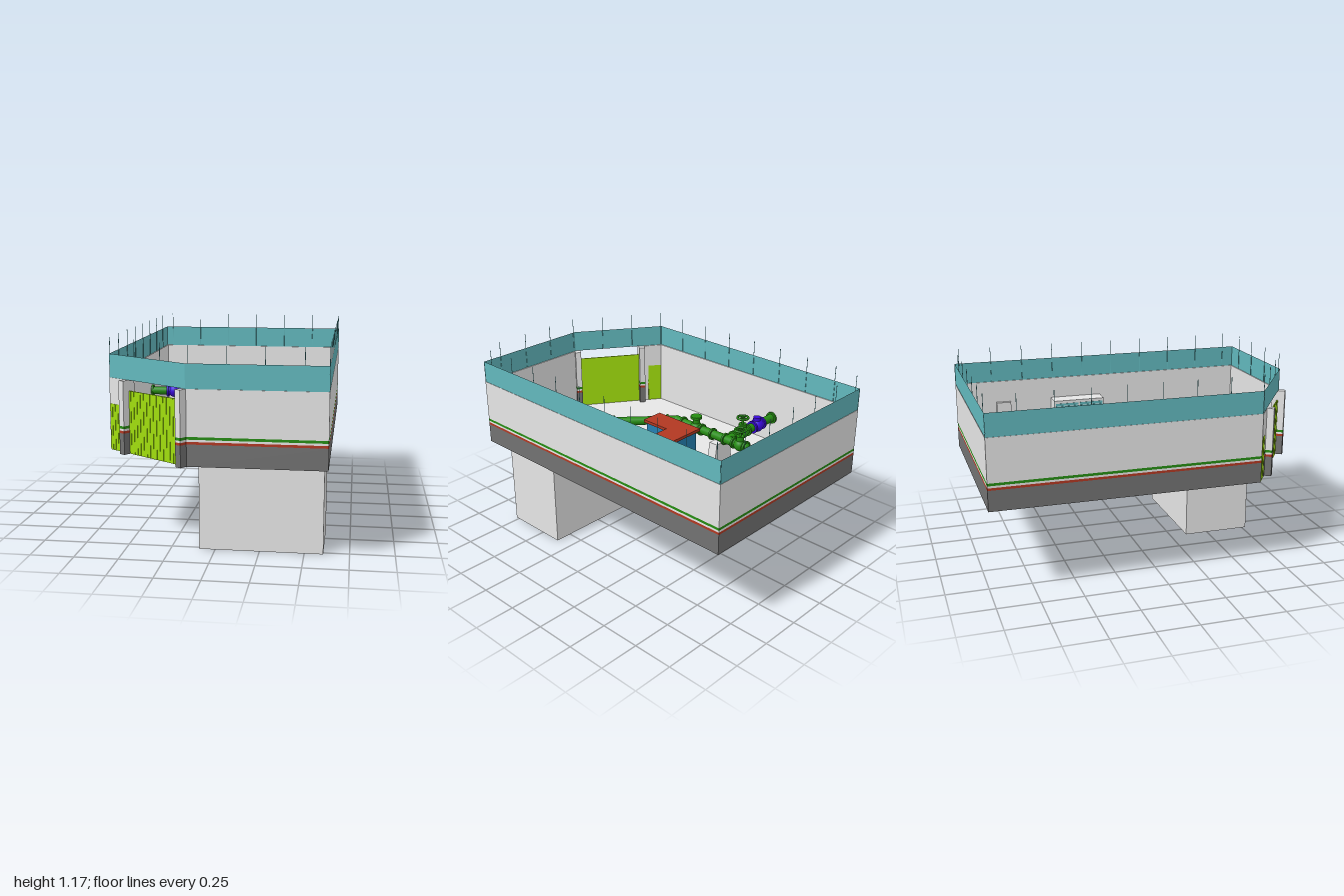
import * as THREE from 'three';
import { ConvexGeometry } from 'three/addons/geometries/ConvexGeometry.js';

const mat = (name, color, side = THREE.FrontSide) => {
  const m = new THREE.MeshStandardMaterial({ color, side });
  m.name = name;
  return m;
};
const M = {
  concrete: mat('concrete grey', 0xe6e6e6),
  dark: mat('base grey', 0x727272),
  fence: mat('fence teal', 0x62b8bd, THREE.DoubleSide),
  red: mat('brick red', 0xb23822),
  green: mat('pipe green', 0x258c12),
  white: mat('stripe white', 0xffffff),
  lime: mat('gate lime', 0xa0de0e),
  violet: mat('meter violet', 0x3a08dc),
  blue: mat('furniture blue', 0x2480b2),
};
const V = (x, y, z) => new THREE.Vector3(x, y, z);
const UP = V(0, 1, 0);
const FLOOR = 0.53;

function add(parent, name, geo, material, x = 0, y = 0, z = 0) {
  const m = new THREE.Mesh(geo, material);
  m.name = name;
  m.position.set(x, y, z);
  parent.add(m);
  return m;
}
// box given by its limits
const box = (p, name, material, x0, x1, y0, y1, z0, z1) => add(p, name,
  new THREE.BoxGeometry(x1 - x0, y1 - y0, z1 - z0), material, (x0 + x1) / 2, (y0 + y1) / 2, (z0 + z1) / 2);
function group(parent, name, x = 0, y = 0, z = 0, ry = 0) {
  const g = new THREE.Group();
  g.name = name;
  g.position.set(x, y, z);
  g.rotation.y = ry;
  parent.add(g);
  return g;
}
// cylinder between two points
function rod(p, name, a, b, r, material = M.green, seg = 20) {
  const m = add(p, name, new THREE.CylinderGeometry(r, r, a.distanceTo(b), seg), material);
  m.position.copy(a).lerp(b, 0.5);
  m.quaternion.setFromUnitVectors(UP, b.clone().sub(a).normalize());
  return m;
}
// flange centred at fraction t of the run a-b
function flange(p, a, b, t, material = M.green, r = 0.038) {
  const d = b.clone().sub(a).normalize().multiplyScalar(0.006);
  const c = a.clone().lerp(b, t);
  rod(p, 'flange', c.clone().sub(d), c.clone().add(d), r, material);
}
const ball = (p, name, c, r, material = M.green) =>
  add(p, name, new THREE.SphereGeometry(r, 20, 14), material, c.x, c.y, c.z);

// valve body on a pipe, with bonnet and handwheel
function valve(p, c, dir) {
  const g = group(p, 'gateValve');
  const d = dir.clone().multiplyScalar(0.045);
  const a = c.clone().sub(d), b = c.clone().add(d);
  ball(g, 'valveBody', c, 0.039);
  flange(g, a, b, 0);
  flange(g, a, b, 1);
  rod(g, 'bonnet', c, V(c.x, c.y + 0.06, c.z), 0.024);
  rod(g, 'stem', c, V(c.x, c.y + 0.11, c.z), 0.008);
  const w = add(g, 'handwheel', new THREE.TorusGeometry(0.034, 0.007, 8, 24), M.green, c.x, c.y + 0.1, c.z);
  w.rotation.x = Math.PI / 2;
  for (const [x, z] of [[0.034, 0], [0, 0.034]])
    rod(g, 'spoke', V(c.x - x, c.y + 0.1, c.z - z), V(c.x + x, c.y + 0.1, c.z + z), 0.005, M.green, 8);
}
// tapering concrete pipe saddle
function saddle(p, x, z, ry, y0 = 0.475) {
  const s = new THREE.Shape([[-0.088, y0], [0.088, y0], [0.062, 0.675], [-0.062, 0.675]].map(q => new THREE.Vector2(...q)));
  const geo = new THREE.ExtrudeGeometry(s, { depth: 0.06, bevelEnabled: false }).translate(0, 0, -0.03);
  add(p, 'pipeSaddle', geo, M.concrete, x, 0, z).rotation.y = ry;
}
// painted base and stripes
function bands(g, x0, x1, z0, z1) {
  box(g, 'baseBand', M.dark, x0, x1, 0.52, 0.642, z0, z1);
  box(g, 'redStripe', M.red, x0, x1, 0.642, 0.656, z0, z1);
  box(g, 'whiteStripe', M.white, x0, x1, 0.656, 0.668, z0, z1);
  box(g, 'greenStripe', M.green, x0, x1, 0.668, 0.683, z0, z1);
}
// ribbed sheet panel
function ribbed(g, name, x0, x1, top, z, h) {
  box(g, name, M.lime, x0, x1, 0.52, top, z - h, z + h);
  const n = Math.round((x1 - x0) / 0.026);
  for (let i = 0; i < n; i++) {
    const x = x0 + (i + 0.5) * (x1 - x0) / n;
    box(g, 'rib', M.lime, x - 0.007, x + 0.007, 0.522, top - 0.002, z - h, z + h + 0.002);
  }
}

export function createModel() {
  const model = new THREE.Group();
  model.name = 'pumpingStation';

  // floor slab and the chamber below it
  const outline = [[-0.63, 0.61], [-0.13, 0.953], [0.63, 0.953], [0.63, -1], [-0.63, -1]];
  const s = new THREE.Shape(outline.map(([x, z]) => new THREE.Vector2(x * 0.997, -z * 0.997)));
  const slab = new THREE.ExtrudeGeometry(s, { depth: FLOOR - 0.521, bevelEnabled: false });
  add(model, 'floor', slab.rotateX(-Math.PI / 2), M.concrete, 0, 0.521, 0);
  box(model, 'wetWell', M.concrete, -0.09, 0.605, 0, 0.521, 0.355, 0.775);

  // perimeter: wall, bands and fence with rods along each side
  const wall = (g, x0, x1) => {
    box(g, 'wall', M.concrete, x0 + 0.004, x1 - 0.004, 0.521, 0.94, -0.008, -0.002);
    box(g, 'wallFace', M.concrete, x0, x1, 0.683, 0.94, -0.002, 0);
    bands(g, x0, x1, -0.002, 0);
  };
  const firstRod = [0.005, 0.015, 0.078, 0.19, 0.175];
  outline.forEach(([ax, az], i) => {
    const [bx, bz] = outline[(i + 1) % outline.length];
    const L = Math.hypot(bx - ax, bz - az);
    const g = group(model, 'perimeterSide', ax, 0, az, Math.atan2(az - bz, bx - ax));
    add(g, 'fence', new THREE.PlaneGeometry(L, 0.135), M.fence, L / 2, 1.0075, -0.002);
    for (let d = firstRod[i]; d < L; d += 0.205)
      rod(g, 'fenceRod', V(d, 0.94, -0.004), V(d, 1.17, -0.004), 0.0018, M.fence, 6);
    if (i) return wall(g, 0, L);
    // angled corner with gate, banded posts and side panel
    wall(g, 0.095, 0.14);
    box(g, 'panelLintel', M.concrete, 0, 0.095, 0.79, 0.94, -0.008, 0);
    ribbed(g, 'sidePanel', 0.002, 0.095, 0.79, -0.005, 0.003);
    ribbed(g, 'gate', 0.16, 0.575, 0.88, -0.004, 0.003);
    for (const x of [0.145, 0.592]) {
      const post = group(g, 'gatePost', x);
      box(post, 'postShaft', M.concrete, -0.019, 0.019, 0.683, 0.94, -0.042, 0.042);
      bands(post, -0.019, 0.019, -0.042, 0.042);
    }
  });

  // thrust block at the outlet
  add(model, 'thrustBlock', new ConvexGeometry([
    V(-0.285, FLOOR, -0.86), V(-0.04, FLOOR, -0.86), V(-0.285, FLOOR, -0.645), V(-0.04, FLOOR, -0.645),
    V(-0.262, 0.7, -0.845), V(-0.062, 0.7, -0.845), V(-0.252, 0.717, -0.78), V(-0.072, 0.717, -0.78),
    V(-0.235, 0.73, -0.655), V(-0.09, 0.73, -0.655)]), M.concrete);

  // pipework
  const pipes = group(model, 'pipework');
  const R = 0.027, Y = 0.7, X = -0.165;
  const out = V(X, 0.495, -0.735), bend = V(X, Y, -0.53), corner = V(X, Y, 0.03);
  const head = V(0.39, Y, 0.55), foot = V(0.39, 0.53, 0.55);
  const tee = V(X, Y, -0.39), branchEnd = V(-0.61, Y, -0.39);
  for (const [a, b] of [[out, bend], [bend, corner], [corner, head], [head, foot], [tee, branchEnd]])
    rod(pipes, 'pipe', a, b, R);
  for (const c of [bend, corner, head]) ball(pipes, 'elbow', c, R + 0.002);
  for (const t of [0.28, 0.46, 0.62, 0.9]) flange(pipes, bend, corner, t);
  for (const t of [0.08, 0.53, 0.75, 0.88]) flange(pipes, corner, head, t);
  for (const t of [0.13, 0.99]) flange(pipes, tee, branchEnd, t);
  flange(pipes, head, foot, 0.4);
  valve(pipes, V(X, Y, -0.49), V(0, 0, 1));
  valve(pipes, V(-0.31, Y, -0.39), V(1, 0, 0));

  // domed check valve
  const cv = V(X, Y, -0.135);
  ball(pipes, 'checkValveBody', cv, 0.04);
  rod(pipes, 'checkValveNeck', cv, V(X, 0.77, -0.135), 0.022);
  rod(pipes, 'checkValveCap', V(X, 0.765, -0.135), V(X, 0.78, -0.135), 0.036);

  // flow meter on the branch
  ball(pipes, 'flowMeter', V(-0.455, Y, -0.39), 0.043, M.violet);
  rod(pipes, 'meterSleeve', V(-0.505, Y, -0.39), V(-0.405, Y, -0.39), 0.031, M.violet);
  for (const x of [-0.5, -0.41]) rod(pipes, 'meterFlange', V(x - 0.006, Y, -0.39), V(x + 0.006, Y, -0.39), 0.04, M.violet);
  rod(pipes, 'meterNeck', V(-0.455, Y, -0.39), V(-0.455, 0.757, -0.39), 0.024, M.violet);

  // dismantling joint with tie bars
  const at = t => corner.clone().lerp(head, t);
  rod(pipes, 'jointSleeve', at(0.59), at(0.7), 0.034, M.concrete);
  for (const t of [0.58, 0.645, 0.71]) flange(pipes, corner, head, t, M.concrete, 0.045);
  const side = V(0.684, 0, -0.73);
  for (let i = 0; i < 6; i++) {
    const q = i * Math.PI / 3;
    const off = side.clone().multiplyScalar(0.04 * Math.cos(q)).add(V(0, 0.04 * Math.sin(q), 0));
    rod(pipes, 'tieBar', at(0.56).add(off), at(0.73).add(off), 0.004, M.concrete, 8);
  }
  // air valve over the riser
  const av = at(0.86);
  rod(pipes, 'airValveNeck', av, V(av.x, 0.79, av.z), 0.012);
  rod(pipes, 'airValveCap', V(av.x, 0.775, av.z), V(av.x, 0.81, av.z), 0.022);

  saddle(model, X, -0.33, 0);
  saddle(model, X, 0.045, 0.43);
  saddle(model, 0.255, 0.435, 0.82, FLOOR);

  // hatch cover with open leaves
  const hatch = group(model, 'hatch', 0.395, 0, 0.55, -0.69);
  box(hatch, 'hatchCover', M.green, -0.085, 0.085, FLOOR, 0.55, -0.09, 0.09);
  for (const k of [-1, 1]) {
    const leaf = box(hatch, 'hatchLeaf', M.concrete, -0.11, 0.11, FLOOR, 0.595, -0.01, 0.01);
    leaf.position.z = k * 0.125;
    leaf.rotation.x = k * 0.4;
  }

  // control desk
  const desk = group(model, 'controlDesk');
  box(desk, 'deskBody', M.blue, 0.005, 0.12, FLOOR, 0.782, -0.285, 0.02);
  box(desk, 'deskWing', M.blue, 0.12, 0.27, FLOOR, 0.782, -0.285, -0.16);
  box(desk, 'deskTop', M.red, -0.01, 0.13, 0.782, 0.8, -0.3, 0.035);
  box(desk, 'deskTopWing', M.red, 0.13, 0.28, 0.782, 0.8, -0.3, -0.155);

  // chair
  const chair = group(model, 'chair');
  box(chair, 'seat', M.blue, 0.135, 0.25, 0.635, 0.655, -0.13, 0.015);
  box(chair, 'backrest', M.blue, 0.235, 0.25, 0.67, 0.77, -0.13, 0.015);
  for (const z of [-0.142, 0.018]) box(chair, 'armrest', M.blue, 0.165, 0.25, 0.69, 0.7, z, z + 0.012);
  for (const z of [-0.09, -0.04]) box(chair, 'backBracket', M.blue, 0.25, 0.275, 0.64, 0.72, z, z + 0.025);
  rod(chair, 'column', V(0.2, FLOOR, -0.055), V(0.2, 0.64, -0.055), 0.01, M.dark, 12);
  rod(chair, 'foot', V(0.2, FLOOR, -0.055), V(0.2, 0.542, -0.055), 0.05, M.dark, 12);

  // switch cabinet with louvred doors, and a small wall box
  box(model, 'cabinet', M.concrete, 0.508, 0.62, FLOOR, 0.805, -0.37, -0.03);
  for (let i = 0; i < 13; i++) {
    const y = 0.555 + i * 0.018;
    for (const z of [-0.36, -0.195]) box(model, 'louvre', M.fence, 0.505, 0.509, y, y + 0.015, z, z + 0.155);
  }
  box(model, 'wallBox', M.concrete, 0.595, 0.62, 0.66, 0.8, -0.74, -0.645);
  return model;
}
